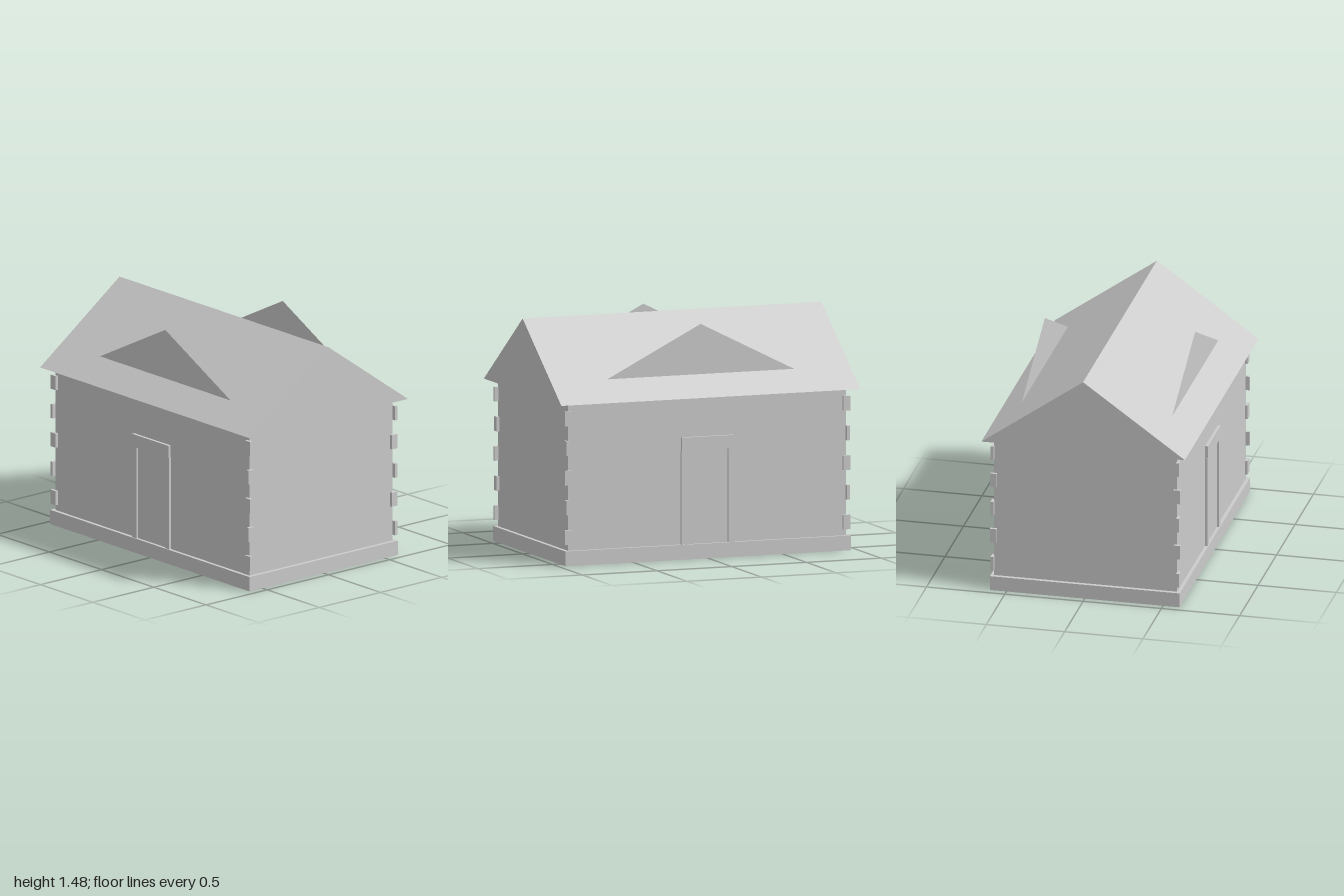
import * as THREE from 'three';

const material = new THREE.MeshStandardMaterial({ color: 0xcccccc, flatShading: true });
const thin = new THREE.MeshStandardMaterial({ color: 0xcccccc, flatShading: true, side: THREE.DoubleSide });

// Box given by its lower and upper limits on each axis
function block(name, [x0, x1], [y0, y1], [z0, z1]) {
  const mesh = new THREE.Mesh(new THREE.BoxGeometry(x1 - x0, y1 - y0, z1 - z0), material);
  mesh.position.set((x0 + x1) / 2, (y0 + y1) / 2, (z0 + z1) / 2);
  mesh.name = name;
  return mesh;
}

function triangle(halfWidth, bottom, top) {
  const shape = new THREE.Shape();
  shape.moveTo(-halfWidth, bottom);
  shape.lineTo(halfWidth, bottom);
  shape.lineTo(0, top);
  shape.closePath();
  return shape;
}

// Door with jambs and lintel, standing on the plinth
function createDoorway() {
  const doorway = new THREE.Group();
  doorway.name = 'doorway';
  doorway.add(block('door', [-0.14, 0.14], [0.09, 0.685], [0.57, 0.587]));
  doorway.add(block('leftJamb', [0.137, 0.177], [0.09, 0.685], [0.57, 0.6]));
  doorway.add(block('rightJamb', [-0.177, -0.137], [0.09, 0.685], [0.57, 0.6]));
  doorway.add(block('lintel', [-0.173, 0.173], [0.683, 0.765], [0.57, 0.603]));
  return doorway;
}

// Alternating corner stones: one on the long wall, the next on the end wall
function createQuoins(sx, sz) {
  const quoins = new THREE.Group();
  quoins.name = 'cornerStones';
  const span = (s, a, b) => (s > 0 ? [a, b] : [-b, -a]);
  for (let i = 0; i < 5; i++) {
    const y = 0.132 + i * 0.1865;
    const onLongWall = i % 2 === 0;
    const x = onLongWall ? span(sx, 0.907, 0.956) : span(sx, 0.928, 0.948);
    const z = onLongWall ? span(sz, 0.582, 0.602) : span(sz, 0.565, 0.608);
    quoins.add(block('cornerStone', x, [y, y + 0.091], z));
  }
  return quoins;
}

export function createModel() {
  const house = new THREE.Group();
  house.name = 'house';

  house.add(block('plinth', [-0.955, 0.955], [0, 0.093], [-0.606, 0.606]));
  house.add(block('walls', [-0.93, 0.93], [0.093, 1.015], [-0.584, 0.584]));

  // Gabled roof, with its ridge along x
  const roofGeometry = new THREE.ExtrudeGeometry(triangle(0.65, 1.015, 1.478), { depth: 2, bevelEnabled: false });
  roofGeometry.translate(0, 0, -1).rotateY(Math.PI / 2);
  const roof = new THREE.Mesh(roofGeometry, material);
  roof.name = 'roof';
  house.add(roof);

  // Doorway and flat upright pediment on both long sides
  for (const turn of [0, Math.PI]) {
    const side = new THREE.Group();
    side.name = turn ? 'backFacade' : 'frontFacade';
    const pediment = new THREE.Mesh(new THREE.ShapeGeometry(triangle(0.625, 1.14, 1.455)), thin);
    pediment.name = 'pediment';
    pediment.position.z = 0.48;
    side.add(createDoorway(), pediment);
    side.rotation.y = turn;
    house.add(side);
  }

  for (const sx of [-1, 1]) for (const sz of [-1, 1]) house.add(createQuoins(sx, sz));

  return house;
}
